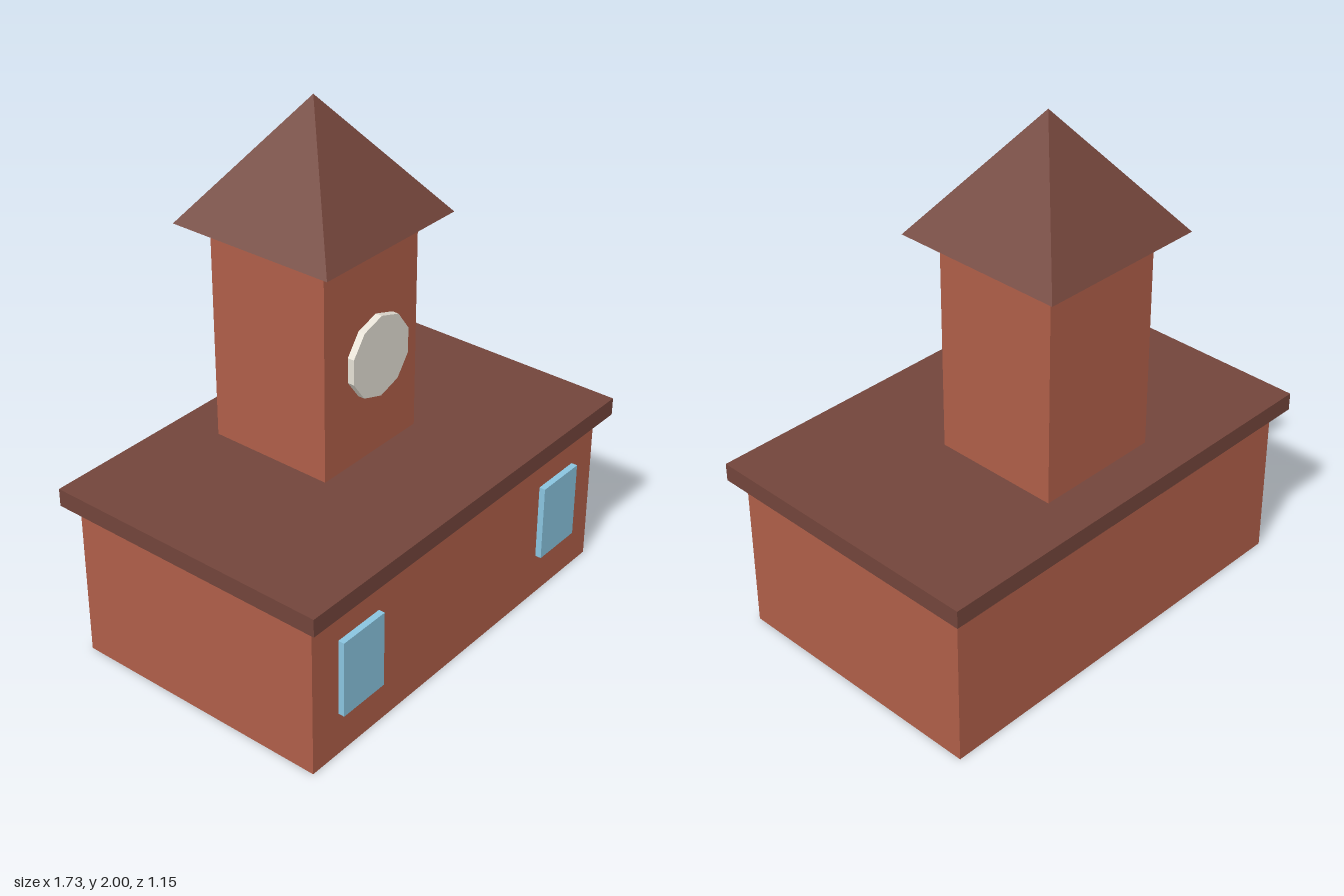
import * as THREE from 'three';

const material = (name, color) => {
  const m = new THREE.MeshStandardMaterial({ color });
  m.name = name;
  return m;
};

export function createModel() {
  const model = new THREE.Group();
  model.name = 'clockTowerBuilding';

  const brick = material('brick red', 0xb05f49);
  const roofing = material('dark brown roof', 0x73453b);
  const glass = material('window blue', 0x8ac5e0);
  const dial = material('clock ivory', 0xe6e1d6);

  const add = (name, geometry, mat, x, y, z) => {
    const mesh = new THREE.Mesh(geometry, mat);
    mesh.name = name;
    mesh.position.set(x, y, z);
    model.add(mesh);
    return mesh;
  };
  // Box placed by the height of its underside
  const box = (name, w, h, d, mat, x, bottom, z) =>
    add(name, new THREE.BoxGeometry(w, h, d), mat, x, bottom + h / 2, z);

  const towerZ = -0.142;

  // Main hall and its overhanging flat roof
  box('hall', 1.64, 0.63, 1.055, brick, 0, 0, 0.001);
  box('flatRoof', 1.734, 0.07, 1.155, roofing, 0, 0.63, 0.001);

  // Tower set towards the back
  box('tower', 0.505, 0.85, 0.505, brick, 0, 0.7, towerZ);

  // Four-sided spire with eaves
  const spire = new THREE.ConeGeometry(0.341 * Math.SQRT2, 0.45, 4).rotateY(Math.PI / 4).toNonIndexed();
  spire.computeVertexNormals();
  add('spire', spire, roofing, 0, 1.775, towerZ);

  // Ten-sided clock face standing just off the tower
  const clock = new THREE.CylinderGeometry(0.158, 0.158, 0.027, 10).rotateX(Math.PI / 2).toNonIndexed();
  clock.computeVertexNormals();
  add('clockFace', clock, dial, 0, 1.112, 0.142);

  // Front windows
  for (const side of [-1, 1]) {
    box(side > 0 ? 'leftWindow' : 'rightWindow', 0.213, 0.308, 0.028, glass, side * 0.58, 0.174, 0.539);
  }

  return model;
}
